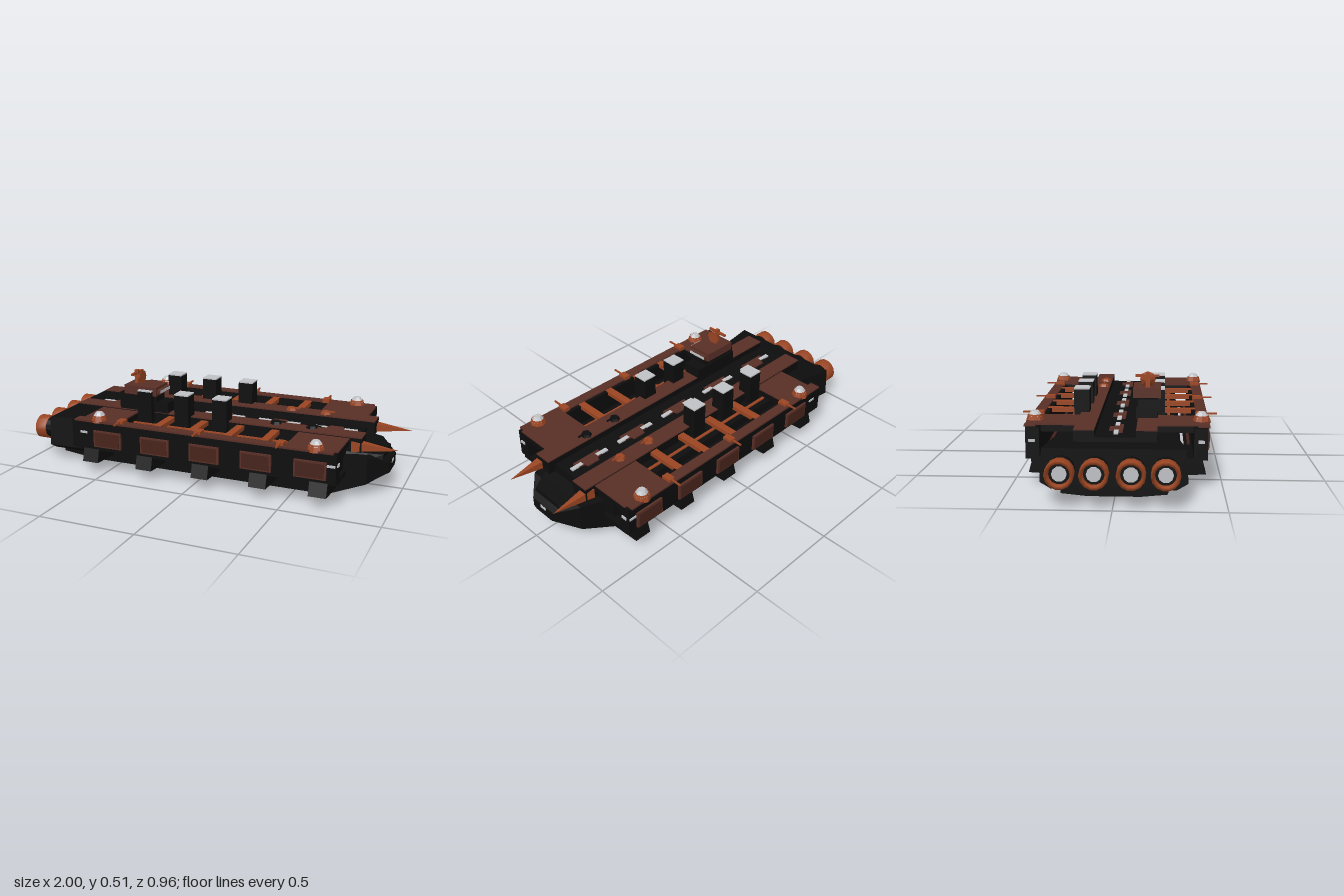
import * as THREE from 'three';

const mat = (name, color) => { const m = new THREE.MeshStandardMaterial({ color }); m.name = name; return m; };

export function createModel() {
  const ship = new THREE.Group();
  ship.name = 'ship';
  const black = mat('blackHull', 0x0d0d0d), brown = mat('brownPlate', 0x582e26);
  const rust = mat('darkRustPanel', 0x47231b), orange = mat('orangeMetal', 0x9a4522);
  const grey = mat('paleGrey', 0xbfc1c5);

  const add = (name, geo, m, x = 0, y = 0, z = 0) => {
    const mesh = new THREE.Mesh(geo, m);
    mesh.name = name;
    mesh.position.set(x, y, z);
    ship.add(mesh);
    return mesh;
  };
  // Box given by its extents on each axis
  const box = (name, m, x0, x1, y0, y1, z0, z1) => add(name,
    new THREE.BoxGeometry(x1 - x0, y1 - y0, Math.abs(z1 - z0)), m, (x0 + x1) / 2, (y0 + y1) / 2, (z0 + z1) / 2);
  const flat = g => { const f = g.index ? g.toNonIndexed() : g; f.computeVertexNormals(); return f; };
  // Faceted tube or cone along the x axis, narrow end r1 towards +x
  const xTube = (r0, r1, len, n) => flat(new THREE.CylinderGeometry(r1, r0, len, n).rotateX(0).rotateZ(-Math.PI / 2));

  // Skin between cross-sections [x, [[z, y], ...]] for the +z half, bottom to top, mirrored
  const loft = sections => {
    const rings = sections.map(([x, half]) => [
      ...half.map(([z, y]) => [x, y, z]), ...half.slice().reverse().map(([z, y]) => [x, y, -z])]);
    const pos = [], n = rings[0].length;
    const tri = (a, b, c) => pos.push(...a, ...b, ...c);
    for (let i = 0; i + 1 < rings.length; i++) for (let j = 0; j < n; j++) {
      const a = rings[i][j], b = rings[i + 1][j], c = rings[i + 1][(j + 1) % n], d = rings[i][(j + 1) % n];
      tri(a, b, c); tri(a, c, d);
    }
    const first = rings[0], last = rings[rings.length - 1];
    for (let j = 1; j + 1 < n; j++) { tri(first[0], first[j], first[j + 1]); tri(last[0], last[j + 1], last[j]); }
    const g = new THREE.BufferGeometry();
    g.setAttribute('position', new THREE.Float32BufferAttribute(pos, 3));
    g.computeVertexNormals();
    return g;
  };

  // Main hull with tapered bow and raised stern
  const lower = (x, b, y0, w, y1, y2) => [x, [[b, y0], [w, y1], [w, y2]]];
  add('lowerHull', loft([lower(-0.85, 0.12, 0.018, 0.24, 0.03, 0.21), lower(-0.65, 0.12, 0, 0.25, 0.012, 0.21),
    lower(0.67, 0.12, 0, 0.25, 0.012, 0.21), lower(0.85, 0.1, 0.05, 0.18, 0.065, 0.205),
    lower(0.94, 0.06, 0.1, 0.08, 0.11, 0.16)]), black);
  add('bowCap', loft([[0.7, [[0.2, 0.18], [0.18, 0.235]]], [0.84, [[0.15, 0.18], [0.13, 0.21]]],
    [0.91, [[0.11, 0.15], [0.09, 0.2]]]]), black);
  const upper = x => [x, [[0.3, 0.13], [0.285, 0.25]]];
  add('upperHull', loft([upper(-0.7), upper(0.74)]), black);
  add('sternBlock', loft([[-0.88, [[0.28, 0.06], [0.33, 0.09], [0.32, 0.245]]],
    [-0.7, [[0.26, 0.05], [0.3, 0.08], [0.29, 0.25]]]]), black);
  box('centreDeck', black, -0.77, 0.78, 0.22, 0.27, -0.1, 0.1);
  box('windowSlit', grey, 0.939, 0.943, 0.14, 0.155, -0.02, 0.02);

  // Engines
  for (const z of [-0.23, -0.08, 0.08, 0.23]) {
    add('engineHousing', xTube(0.055, 0.06, 0.08, 12), black, -0.91, 0.155, z);
    add('engineRing', new THREE.LatheGeometry([[0.05, 0], [0.065, 0], [0.065, 0.06], [0.05, 0.06], [0.045, 0.02], [0.05, 0]]
      .map(p => new THREE.Vector2(...p)), 14).rotateZ(Math.PI / 2), orange, -0.94, 0.155, z).material = orange;
    add('engineInside', xTube(0.053, 0.053, 0.02, 12), black, -0.965, 0.155, z);
    add('engineGlow', xTube(0.034, 0.034, 0.008, 10), grey, -0.978, 0.155, z);
  }

  // Centre deck hatches, one per bay
  const bays = [-0.605, -0.29, 0.025, 0.335, 0.64];
  const hatch = new THREE.Shape([[-0.08, -0.03], [0.08, -0.03], [0.08, 0.01], [0.04, 0.015], [0.035, 0.035],
    [-0.035, 0.035], [-0.04, 0.015], [-0.08, 0.01]].map(p => new THREE.Vector2(...p)));
  for (const x of bays) {
    add('deckHatch', new THREE.ExtrudeGeometry(hatch, { depth: 0.008, bevelEnabled: false }).rotateX(-Math.PI / 2), brown, x, 0.269, 0);
    for (const s of [-1, 1]) box('hatchLight', grey, x + s * 0.08 - 0.034, x + s * 0.08 + 0.034, 0.271, 0.279, -0.011, 0.011);
  }

  for (const s of [1, -1]) {
    const sbox = (name, m, x0, x1, y0, y1, z0, z1) => box(name, m, x0, x1, y0, y1, s * z0, s * z1);
    // Long deck beams ending in a ram spike
    sbox('deckBeam', black, -0.77, 0.82, 0.23, 0.3, 0.095, 0.19);
    sbox('deckBeamPlate', brown, -0.77, 0.82, 0.3, 0.306, 0.095, 0.19);
    const spike = add('ramSpike', flat(new THREE.ConeGeometry(0.038, 0.23, 4).rotateY(Math.PI / 4).rotateZ(-Math.PI / 2)),
      orange, 0.885, 0.257, s * 0.168);
    spike.rotation.x = 0;

    // Side gallery: floor, outer wall, end decks and top rail
    sbox('galleryFloor', black, -0.67, 0.76, 0.125, 0.15, 0.24, 0.4);
    sbox('galleryWall', black, -0.67, 0.76, 0.14, 0.29, 0.36, 0.425);
    sbox('sideRailPlate', brown, -0.65, 0.745, 0.288, 0.297, 0.38, 0.435);
    for (const [x0, x1] of [[-0.62, -0.4], [0.5, 0.76]]) {
      sbox('endDeck', black, x0, x1, 0.26, 0.29, 0.18, 0.4);
      sbox('endDeckPlate', brown, x0, x1, 0.29, 0.297, 0.185, 0.4);
    }
    for (const x of [-0.2, -0.01, 0.19, 0.38]) sbox('crossBar', orange, x - 0.02, x + 0.02, 0.27, 0.293, 0.17, 0.385);
    sbox('orangePipe', orange, -0.4, 0.5, 0.25, 0.257, 0.238, 0.253);
    sbox('greyPipe', grey, -0.4, 0.5, 0.15, 0.158, 0.304, 0.318);
    sbox('rustPipe', rust, -0.4, 0.5, 0.15, 0.165, 0.335, 0.348);

    // Ribs under the gallery, flaring outwards at the foot
    for (const x of bays) {
      const rib = new THREE.Shape([[0.24, 0.05], [0.42, 0.06], [0.395, 0.15], [0.24, 0.15]].map(p => new THREE.Vector2(s * p[0], p[1])));
      add('galleryRib', new THREE.ExtrudeGeometry(rib, { depth: 0.09, bevelEnabled: false }).rotateY(-Math.PI / 2), black, x + 0.075, 0, 0);
      ship.children[ship.children.length - 1].scale.z = 1;
    }
    // Armoured side panels
    for (let i = 0; i < 5; i++) {
      const x = -0.458 + i * 0.273;
      sbox('panelFrame', brown, x - 0.08, x + 0.08, 0.157, 0.245, 0.42, 0.436);
      sbox('panelFace', rust, x - 0.07, x + 0.07, 0.165, 0.237, 0.434, 0.44);
    }
    for (const x of [-0.6, 0.735]) sbox('sideLight', grey, x - 0.02, x + 0.02, 0.222, 0.234, 0.423, 0.429);
    for (const x of [0.762, -0.672]) sbox('wallEndLight', grey, x - 0.003, x + 0.003, 0.22, 0.235, 0.38, 0.41);

    // Domed cupolas
    for (const x of [-0.518, 0.652]) {
      add('cupolaBase', flat(new THREE.CylinderGeometry(0.034, 0.045, 0.035, 8)), orange, x, 0.297 + 0.0085, s * 0.4);
      add('cupolaDome', flat(new THREE.CylinderGeometry(0.018, 0.037, 0.026, 8)), grey, x, 0.327, s * 0.4);
    }
    // Rail guns
    for (const x of [-0.385, 0.05, 0.48]) {
      sbox('gunMount', orange, x - 0.018, x + 0.018, 0.29, 0.312, 0.375, 0.425);
      sbox('gunBarrel', orange, x - 0.004, x + 0.004, 0.301, 0.309, 0.42, 0.48);
    }
    // Funnels
    for (const x of [-0.345, -0.13, 0.085]) {
      sbox('funnel', black, x - 0.04, x + 0.04, 0.24, 0.42, 0.148, 0.225);
      sbox('funnelTop', grey, x - 0.04, x + 0.04, 0.42, 0.427, 0.148, 0.225);
    }
    // Small deck guns towards the bow
    for (const x of [0.36, 0.55]) {
      const m = s > 0 ? black : orange;
      add('deckGun', flat(new THREE.CylinderGeometry(0.024, 0.03, 0.014, 6)), m, x, 0.313, s * 0.13);
      sbox('deckGunBarrel', m, x, x + 0.05, 0.316, 0.323, 0.127, 0.134);
    }
  }

  // Bridge tower
  box('bridgeBase', black, -0.51, -0.225, 0.3, 0.36, 0.085, 0.19);
  box('bridgeTower', black, -0.51, -0.29, 0.36, 0.396, 0.095, 0.19);
  box('bridgeCabin', brown, -0.475, -0.285, 0.395, 0.442, 0.07, 0.205);
  box('bridgeVisor', brown, -0.285, -0.265, 0.41, 0.43, 0.08, 0.195);
  box('bridgeWindow', grey, -0.267, -0.262, 0.412, 0.427, 0.085, 0.19);
  box('dishMast', orange, -0.44, -0.42, 0.44, 0.515, 0.13, 0.15);
  add('dish', xTube(0.015, 0.039, 0.025, 8), orange, -0.408, 0.476, 0.14);
  box('dishArm', orange, -0.436, -0.424, 0.492, 0.504, 0.08, 0.197);
  return ship;
}
